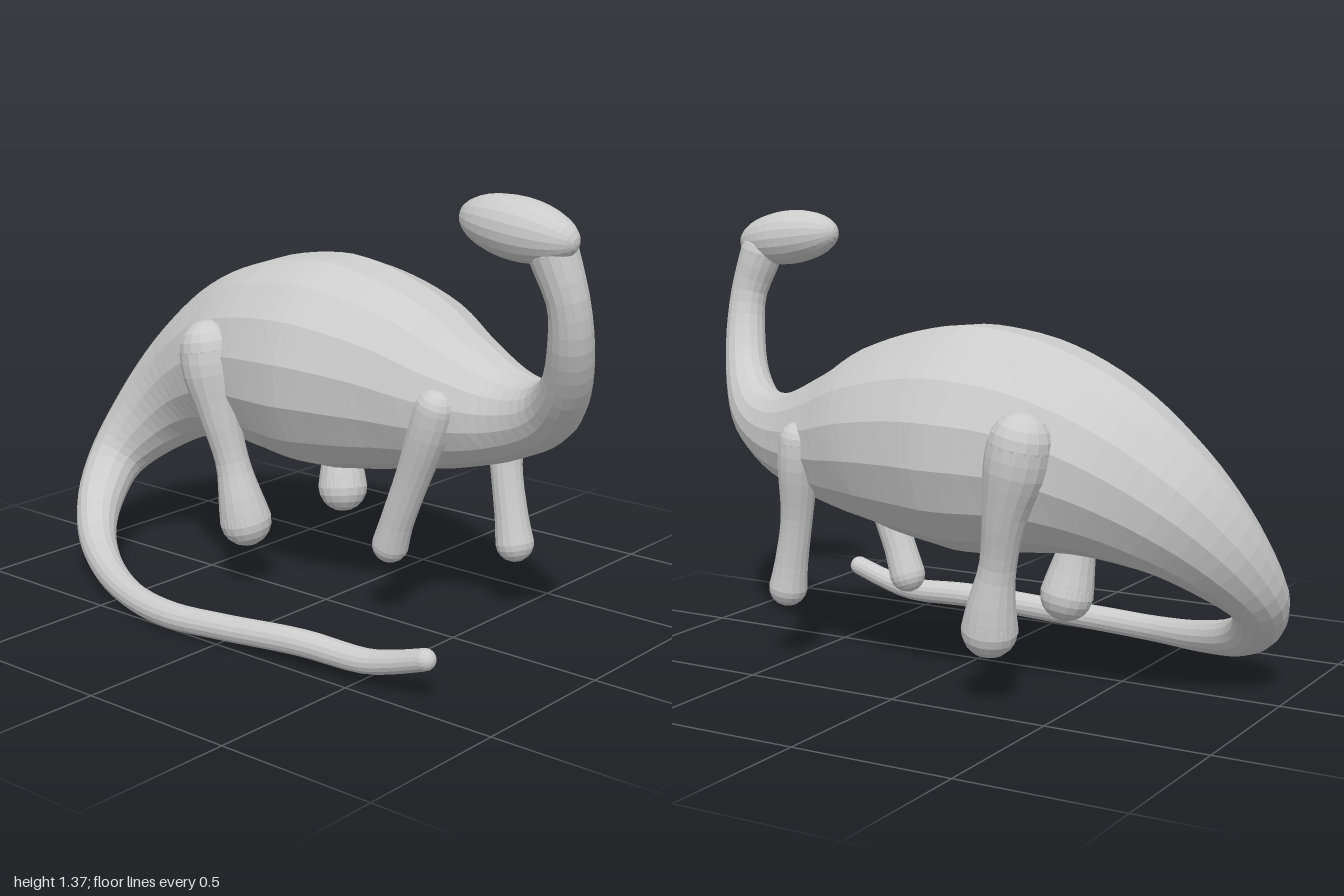
import * as THREE from 'three';

const material = new THREE.MeshStandardMaterial({ color: 0xcccccc, flatShading: true });
const SIDES = 16;

function addMesh(parent, name, geometry) {
  const mesh = new THREE.Mesh(geometry, material);
  mesh.name = name;
  parent.add(mesh);
  return mesh;
}

// Round limb of varying thickness through stations [x, y, z, radius], with domed ends
function limb(name, stations, rings, sides = SIDES) {
  const group = new THREE.Group();
  group.name = name;
  const curve = new THREE.CatmullRomCurve3(stations.map(([x, y, z]) => new THREE.Vector3(x, y, z)));
  curve.arcLengthDivisions = 600;
  const radii = new THREE.SplineCurve(stations.map((s, i) => new THREE.Vector2(i, s[3])));
  const geometry = new THREE.TubeGeometry(curve, rings, 1, sides);
  const pos = geometry.attributes.position;
  const v = new THREE.Vector3();
  for (let i = 0; i <= rings; i++) {
    const u = i / rings;
    const centre = curve.getPointAt(u);
    const r = radii.getPoint(curve.getUtoTmapping(u)).y;
    for (let j = 0; j <= sides; j++) {
      const k = i * (sides + 1) + j;
      v.fromBufferAttribute(pos, k).sub(centre).multiplyScalar(r).add(centre);
      pos.setXYZ(k, v.x, v.y, v.z);
    }
  }
  addMesh(group, name + 'Shaft', geometry);
  for (const [u, s] of [[0, stations[0]], [1, stations[stations.length - 1]]]) {
    const cap = addMesh(group, name + 'End', new THREE.SphereGeometry(s[3], sides, 10));
    cap.position.set(s[0], s[1], s[2]);
    cap.quaternion.setFromUnitVectors(new THREE.Vector3(0, 1, 0), curve.getTangentAt(u));
  }
  return group;
}

export function createModel() {
  const model = new THREE.Group();
  model.name = 'longNeckedDinosaur';

  // Neck, trunk and tail in one continuous sweep
  model.add(limb('body', [
    [0.9, 1.235, 0.125, 0.07],
    [0.94, 1.1, 0.105, 0.06],
    [0.93, 0.97, 0.07, 0.065],
    [0.87, 0.83, 0.0, 0.073],
    [0.76, 0.73, -0.08, 0.095],
    [0.6, 0.685, -0.135, 0.14],
    [0.4, 0.69, -0.155, 0.215],
    [0.2, 0.72, -0.165, 0.287],
    [0.0, 0.735, -0.165, 0.331],
    [-0.12, 0.735, -0.165, 0.34],
    [-0.3, 0.725, -0.165, 0.318],
    [-0.5, 0.68, -0.17, 0.27],
    [-0.71, 0.57, -0.14, 0.2],
    [-0.845, 0.44, -0.07, 0.14],
    [-0.91, 0.31, 0.03, 0.095],
    [-0.87, 0.2, 0.15, 0.077],
    [-0.77, 0.12, 0.26, 0.062],
    [-0.6, 0.07, 0.37, 0.05],
    [-0.4, 0.048, 0.455, 0.042],
    [-0.2, 0.045, 0.492, 0.041],
    [0.0, 0.055, 0.482, 0.04],
    [0.3, 0.073, 0.455, 0.04],
    [0.52, 0.072, 0.441, 0.037],
    [0.62, 0.094, 0.438, 0.034],
    [0.73, 0.13, 0.437, 0.032],
  ], 100));

  // Head, an ellipsoid pointing back along the body
  const head = addMesh(model, 'head', new THREE.SphereGeometry(1, 20, 16).rotateZ(Math.PI / 2));
  head.scale.set(0.19, 0.088, 0.088);
  head.position.set(0.798, 1.288, 0.14);
  head.rotation.z = -0.12;

  // Hind legs, mirrored about the trunk's middle plane
  for (const side of [1, -1]) {
    const z = (offset) => -0.165 + side * offset;
    model.add(limb(side > 0 ? 'rightHindLeg' : 'leftHindLeg', [
      [-0.39, 0.775, z(0.275), 0.094],
      [-0.375, 0.7, z(0.277), 0.093],
      [-0.345, 0.58, z(0.28), 0.066],
      [-0.31, 0.42, z(0.26), 0.054],
      [-0.285, 0.3, z(0.25), 0.071],
      [-0.273, 0.228, z(0.24), 0.083],
    ], 14));
  }

  // Front legs, in mid stride
  model.add(limb('rightFrontLeg', [
    [0.432, 0.7, 0.015, 0.064],
    [0.41, 0.63, 0.015, 0.064],
    [0.35, 0.48, 0.01, 0.054],
    [0.285, 0.32, 0.005, 0.052],
    [0.258, 0.245, 0.0, 0.057],
  ], 12));
  model.add(limb('leftFrontLeg', [
    [0.44, 0.7, -0.322, 0.064],
    [0.447, 0.63, -0.32, 0.064],
    [0.47, 0.46, -0.3, 0.05],
    [0.502, 0.3, -0.29, 0.053],
    [0.515, 0.233, -0.288, 0.06],
  ], 12));

  return model;
}
